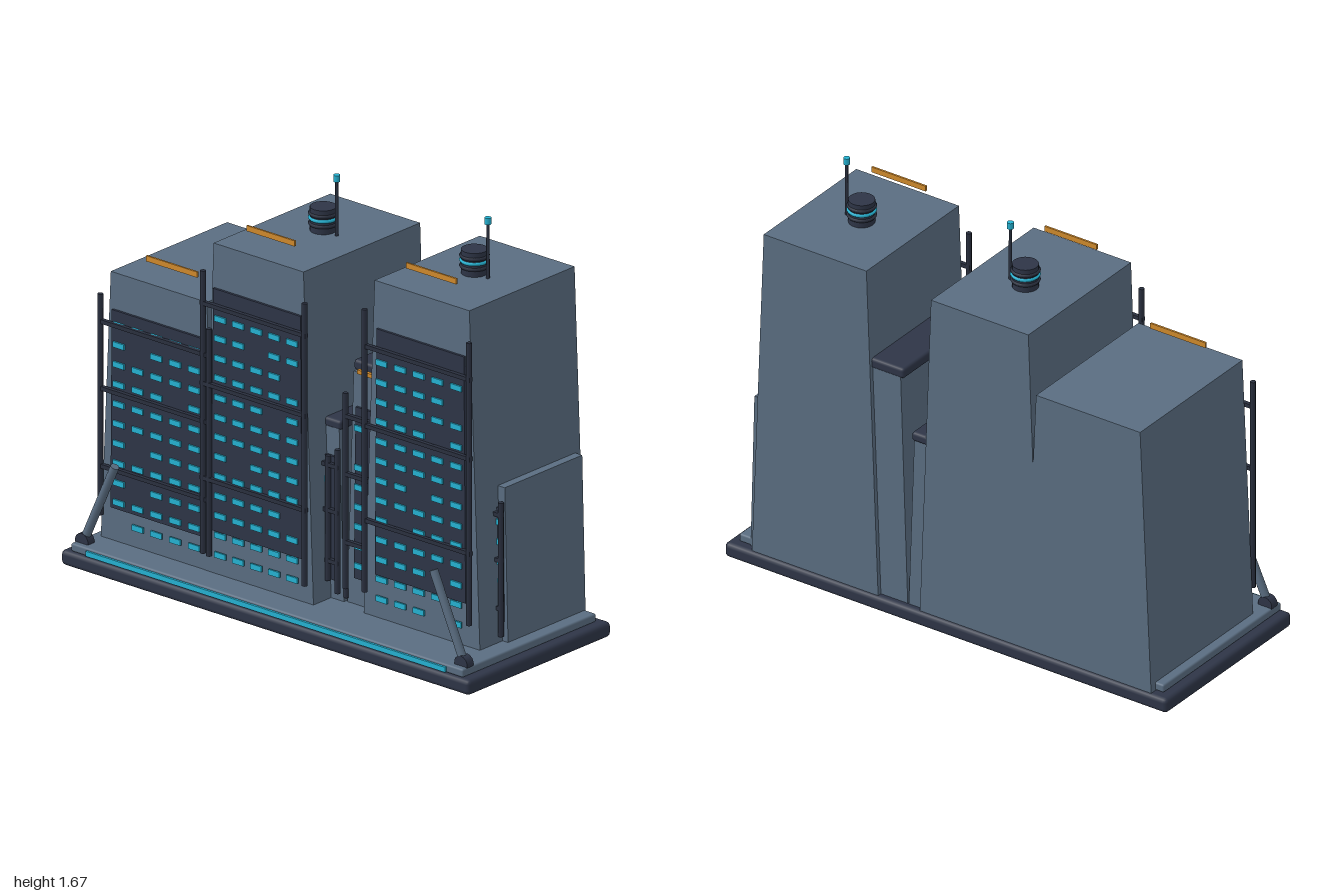
import * as THREE from 'three';
import { RoundedBoxGeometry } from 'three/addons/geometries/RoundedBoxGeometry.js';

const mat = (name, color) => {
  const m = new THREE.MeshStandardMaterial({ color });
  m.name = name;
  return m;
};

export function createModel() {
  const root = new THREE.Group();
  root.name = 'cityBlock';
  const wall = mat('slateWall', 0x5a6d81);
  const dark = mat('darkNavy', 0x2e3547);
  const trim = mat('darkTrim', 0x2a303f);
  const cyan = mat('cyanGlow', 0x25b3d3);
  const amber = mat('amberSign', 0xd08a2c);

  const add = (parent, name, geo, material, x, y, z) => {
    const m = new THREE.Mesh(geo, material);
    m.name = name;
    m.position.set(x, y, z);
    parent.add(m);
    return m;
  };
  // box given by its lower and upper limits
  const box = (parent, name, material, x0, x1, y0, y1, z0, z1, r = 0) => {
    const s = [x1 - x0, y1 - y0, z1 - z0];
    const g = r ? new RoundedBoxGeometry(...s, 2, r) : new THREE.BoxGeometry(...s);
    return add(parent, name, g, material, (x0 + x1) / 2, (y0 + y1) / 2, (z0 + z1) / 2);
  };
  // box whose width narrows from half-width a at the foot to b at the top
  const taper = (parent, name, material, x, a, b, y0, y1, z0, z1) => {
    const g = new THREE.BoxGeometry(2, y1 - y0, z1 - z0);
    const p = g.attributes.position;
    for (let i = 0; i < p.count; i++) p.setX(i, p.getX(i) * (p.getY(i) > 0 ? b : a));
    g.computeVertexNormals();
    return add(parent, name, g, material, x, (y0 + y1) / 2, (z0 + z1) / 2);
  };

  // Base slab, plinth and light strip
  box(root, 'baseSlab', dark, -1, 1, 0, 0.06, -0.4, 0.4, 0.018);
  box(root, 'plinth', wall, -0.96, 0.96, 0.06, 0.093, -0.36, 0.387, 0.008);
  box(root, 'baseLightStrip', cyan, -0.88, 0.88, 0.064, 0.084, 0.385, 0.396);

  // One building: tapered body, facade panel, lit windows, posts and rails
  const building = (o) => {
    const g = new THREE.Group();
    g.name = o.name;
    root.add(g);
    taper(g, 'body', wall, o.x, o.a, o.b, 0.06, o.h, o.back, o.front);
    const f = o.front;
    taper(g, 'facadePanel', dark, o.x, o.panel[0], o.panel[1], o.panel[2], o.panel[3], f - 0.01, f + 0.01);
    for (let r = 0; r < o.rows; r++) {
      for (let c = 0; c < o.cols.length; c++) {
        if ((o.off[r] || '').includes(c)) continue;
        const x = o.cols[c], y = (o.y0 || 0.175) + r * 0.078;
        box(g, 'window', cyan, x - 0.027, x + 0.027, y - 0.011, y + 0.011, f + 0.009, f + 0.017);
      }
    }
    for (const [x, y0, y1] of o.posts)
      add(g, 'post', new THREE.CylinderGeometry(0.011, 0.011, y1 - y0, 8), trim, x, (y0 + y1) / 2, f + 0.022);
    for (const y of o.rails)
      box(g, 'rail', trim, o.span[0], o.span[1], y - 0.008, y + 0.008, f + 0.014, f + 0.03);
    return g;
  };
  const five = (x, d) => [-2, -1, 0, 1, 2].map((i) => x + i * d);

  const left = building({
    name: 'rightHandTower', x: -0.638, a: 0.285, b: 0.235, h: 1.155, back: -0.388, front: 0.262,
    panel: [0.228, 0.222, 0.225, 1.01], rows: 11, cols: five(-0.638, 0.092), y0: 0.175,
    off: { 0: '0', 2: '1', 4: '1', 7: '3', 9: '1' },
    posts: [[-0.905, 0.19, 1.065], [-0.373, 0.165, 1.065]], rails: [0.958, 0.693, 0.385], span: [-0.912, -0.366],
  });
  const mid = building({
    name: 'middleTower', x: -0.148, a: 0.27, b: 0.22, h: 1.4, back: -0.388, front: 0.264,
    panel: [0.222, 0.214, 0.265, 1.225], rows: 13, cols: five(-0.148, 0.088),
    off: { 3: '4', 5: '1', 8: '3', 10: '4', 11: '2' },
    posts: [[-0.4, 0.17, 1.29], [0.097, 0.17, 1.29]], rails: [1.162, 0.845, 0.47], span: [-0.41, 0.106],
  });
  const right = building({
    name: 'leftHandTower', x: 0.596, a: 0.285, b: 0.232, h: 1.425, back: -0.388, front: 0.2,
    panel: [0.222, 0.214, 0.265, 1.24], rows: 13, cols: five(0.592, 0.091),
    off: { 0: '3', 2: '3', 4: '1', 6: '2', 9: '3', 11: '4' },
    posts: [[0.335, 0.19, 1.31], [0.846, 0.19, 1.31]], rails: [1.165, 0.85, 0.475], span: [0.326, 0.855],
  });

  // Low buildings in the gap, with rounded roof caps
  const gapTall = building({
    name: 'gapTallBlock', x: 0.31, a: 0.12, b: 0.088, h: 1.015, back: -0.37, front: 0.155,
    panel: [0.078, 0.07, 0.2, 0.88], rows: 8, cols: [0.265, 0.345], y0: 0.253, off: { 2: '1', 6: '0' },
    posts: [[0.202, 0.155, 0.93], [0.418, 0.155, 0.93]], rails: [0.84, 0.61, 0.34], span: [0.195, 0.425],
  });
  box(gapTall, 'roofCap', dark, 0.205, 0.415, 1.01, 1.052, -0.375, 0.137, 0.012);
  const gapLow = building({
    name: 'gapLowBlock', x: 0.1, a: 0.085, b: 0.06, h: 0.77, back: -0.37, front: 0.165,
    panel: [0.055, 0.048, 0.17, 0.66], rows: 5, cols: [0.08], y0: 0.253, off: {},
    posts: [[0.125, 0.17, 0.665], [0.172, 0.13, 0.7]], rails: [0.63, 0.45, 0.25], span: [0.04, 0.18],
  });
  box(gapLow, 'roofCap', dark, 0.03, 0.167, 0.765, 0.803, -0.38, 0.167, 0.012);
  add(gapLow, 'shortPost', new THREE.CylinderGeometry(0.009, 0.009, 0.33, 8), trim, 0.19, 0.275, 0.16);

  // Side wing on the +x end
  building({
    name: 'sideWing', x: 0.8, a: 0.107, b: 0.09, h: 0.702, back: -0.36, front: 0.073,
    panel: [0.09, 0.08, 0.17, 0.62], rows: 5, cols: [0.86], y0: 0.253, off: {},
    posts: [[0.89, 0.12, 0.65]], rails: [0.6, 0.42, 0.23], span: [0.75, 0.898],
  });

  // Floating amber signs
  for (const [x, w, y, z] of [[-0.635, 0.25, 1.215, 0.19], [-0.148, 0.235, 1.465, 0.193], [0.59, 0.245, 1.493, 0.138]])
    box(root, 'roofSign', amber, x - w / 2, x + w / 2, y - 0.011, y + 0.011, z - 0.004, z + 0.004);
  box(root, 'smallSign', amber, 0.27, 0.35, 1.027, 1.043, 0.178, 0.192);

  // Roof drum with a glowing ring, and an antenna beside it
  for (const [g, x, y] of [[mid, -0.15, 1.4], [right, 0.59, 1.425]]) {
    add(g, 'roofDrum', new THREE.CylinderGeometry(0.05, 0.05, 0.095, 20), dark, x, y + 0.047, -0.1);
    for (const [dy, m] of [[0.03, trim], [0.052, cyan], [0.07, trim]]) {
      const ring = add(g, 'drumRing', new THREE.TorusGeometry(0.05, 0.007, 6, 24), m, x, y + dy, -0.1);
      ring.rotation.x = Math.PI / 2;
    }
    add(g, 'antenna', new THREE.CylinderGeometry(0.006, 0.007, 0.22, 8), trim, x + 0.075, y + 0.11, -0.09);
    add(g, 'antennaTip', new THREE.CylinderGeometry(0.013, 0.013, 0.026, 10), cyan, x + 0.075, y + 0.228, -0.09);
  }

  // Slanted corner struts on round feet
  for (const s of [-1, 1]) {
    const dx = -0.15, dy = 0.33;
    const strut = add(root, 'strut', new THREE.CylinderGeometry(0.017, 0.017, Math.hypot(dx, dy), 12), wall, s * 0.855, 0.265, 0.345);
    strut.rotation.z = -s * Math.atan2(dx, dy);
    const foot = add(root, 'strutFoot', new THREE.CylinderGeometry(0.032, 0.032, 0.036, 14), dark, s * 0.928, 0.1, 0.345);
    foot.rotation.x = Math.PI / 2;
  }
  return root;
}
